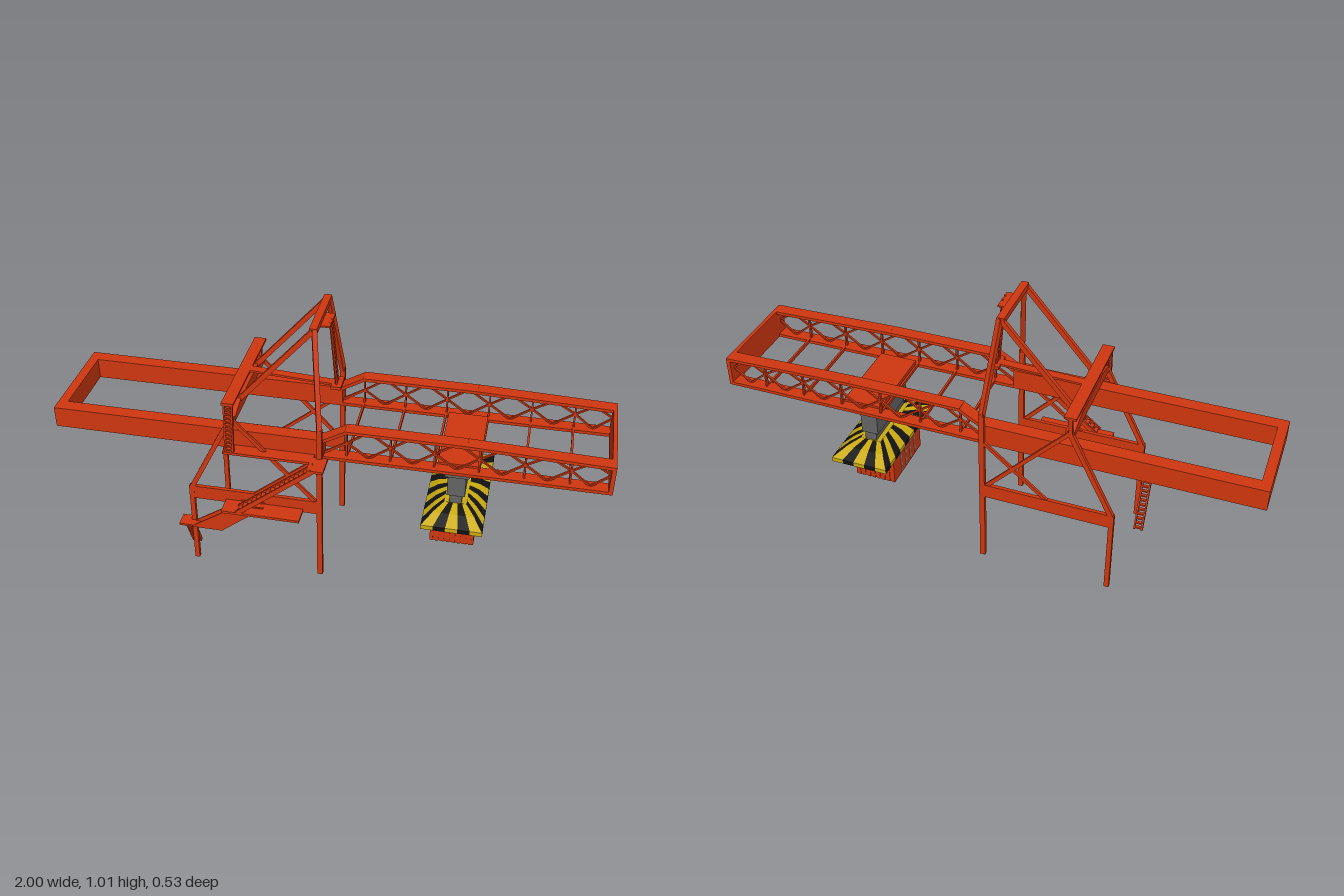
import * as THREE from 'three';

const mat = (name, color, extra = {}) => Object.assign(new THREE.MeshStandardMaterial({ color, ...extra }), { name });
const red = mat('craneRed', 0xd0370f);
const grey = mat('trolleyGrey', 0x636363);
const yellow = mat('hazardYellow', 0xccac10);
const black = mat('hazardBlack', 0x121212);
const pale = mat('stripeGrey', 0xa8a8a8);

const V = (x, y, z) => new THREE.Vector3(x, y, z);
const MID = -0.0325;                       // centre line of the boom in z

export function createModel() {
  const root = new THREE.Group();
  root.name = 'quayCrane';
  const section = (name) => {
    const g = new THREE.Group();
    g.name = name;
    root.add(g);
    return g;
  };

  // box given by its limits
  const box = (g, name, x0, x1, y0, y1, z0, z1, m = red) => {
    const mesh = new THREE.Mesh(new THREE.BoxGeometry(x1 - x0, y1 - y0, z1 - z0), m);
    mesh.position.set((x0 + x1) / 2, (y0 + y1) / 2, (z0 + z1) / 2);
    mesh.name = name;
    g.add(mesh);
  };
  // bar between two points; w is the horizontal thickness, h the other one
  const bar = (g, name, a, b, w, h = w, m = red) => {
    const mesh = new THREE.Mesh(new THREE.BoxGeometry(w, h, a.distanceTo(b)), m);
    mesh.position.copy(a);
    mesh.lookAt(b);
    mesh.position.lerp(b, 0.5);
    mesh.name = name;
    g.add(mesh);
  };
  // two rails with evenly spaced rungs
  const ladder = (g, name, a, b, side, n, rail, tread) => {
    for (const s of [-1, 1]) {
      const o = side.clone().multiplyScalar(s);
      bar(g, name + 'Rail', a.clone().add(o), b.clone().add(o), ...rail);
    }
    for (let i = 0; i < n; i++) {
      const p = a.clone().lerp(b, (i + 0.5) / n);
      bar(g, name + 'Rung', p.clone().sub(side), p.clone().add(side), ...tread);
    }
  };
  // side outline extruded across z
  const slab = (g, name, pts, z0, z1, m = red) => {
    const shape = new THREE.Shape(pts.map((p) => new THREE.Vector2(...p)));
    const mesh = new THREE.Mesh(new THREE.ExtrudeGeometry(shape, { depth: z1 - z0, bevelEnabled: false }), m);
    mesh.position.z = z0;
    mesh.name = name;
    g.add(mesh);
  };

  // Boom: solid rear girders, lattice front girders
  const boom = section('boom');
  box(boom, 'rearEndBeam', -1, -0.965, 0.525, 0.605, -0.18, 0.115);
  box(boom, 'frontEndPlate', 0.985, 1, 0.525, 0.64, -0.23, 0.165);
  const posts = [0.08, 0.235, 0.39, 0.545, 0.7, 0.855, 0.99];
  const topY = (x) => 0.648 - 0.014 * Math.max(0, (x - 0.5) / 0.5);
  for (const z of [-0.205, 0.14]) {
    box(boom, 'rearGirder', -1, 0, 0.525, 0.605, z - 0.025, z + 0.025);
    box(boom, 'bottomChord', 0, 0.99, 0.525, 0.537, z - 0.025, z + 0.025);
    bar(boom, 'chordRamp', V(-0.005, 0.598, z), V(0.08, 0.648, z), 0.05, 0.012);
    bar(boom, 'topChord', V(0.075, 0.648, z), V(0.5, 0.648, z), 0.05, 0.012);
    bar(boom, 'topChord', V(0.5, 0.648, z), V(0.992, 0.634, z), 0.05, 0.012);
    bar(boom, 'lattice', V(0, 0.54, z), V(0.08, 0.59, z), 0.008);
    posts.forEach((x, i) => {
      bar(boom, 'latticePost', V(x, 0.53, z), V(x, topY(x), z), 0.006, 0.012);
      if (i === posts.length - 1) return;
      const x1 = posts[i + 1], xm = (x + x1) / 2;
      for (const e of [x, x1])
        for (const y of [0.535, topY(xm) - 0.004]) bar(boom, 'lattice', V(e, 0.59, z), V(xm, y, z), 0.008, 0.006);
    });
  }
  for (const x of posts.slice(0, 6)) box(boom, 'crossTie', x - 0.004, x + 0.004, 0.527, 0.54, -0.19, 0.125);

  // Portal: legs, side beams, braces and the mast on top
  const portal = section('portal');
  for (const s of [-1, 1]) {
    const z = -0.027 + s * 0.208, zt = -0.03 + s * 0.117;
    box(portal, 'frontLeg', -0.02, 0, 0, 0.66, z - 0.008, z + 0.008);
    box(portal, 'rearLeg', -0.5, -0.482, 0, 0.345, z - 0.008, z + 0.008);
    box(portal, 'sideBeam', -0.5, 0, 0.29, 0.345, z - 0.007, z + 0.007);
    bar(portal, 'rearLegSlope', V(-0.491, 0.335, z), V(-0.325, 0.67, z), 0.016, 0.018);
    bar(portal, 'diagonalBrace', V(-0.325, 0.66, z), V(-0.015, 0.33, z), 0.01, 0.014);
    bar(portal, 'diagonalBrace', V(-0.3, 0.3, z), V(-0.015, 0.535, z), 0.01, 0.012);
    bar(portal, 'mastLeg', V(-0.01, 0.65, z), V(-0.045, 1, zt), 0.018, 0.018);
    bar(portal, 'backStay', V(-0.05, 0.995, zt), V(-0.33, 0.675, zt), 0.016, 0.018);
    bar(portal, 'railPost', V(-0.33, 0.66, z), V(-0.33, 0.735, z + s * 0.008), 0.014);
  }
  box(portal, 'mastHead', -0.062, -0.035, 0.984, 1.006, -0.155, 0.093);

  // Rear cross beam with tapered ends
  const beamShape = new THREE.Shape([[-0.205, 0.65], [0.205, 0.65], [0.205, 0.67], [0.125, 0.695], [-0.125, 0.695], [-0.205, 0.67]]
    .map((p) => new THREE.Vector2(...p)));
  const crossBeam = new THREE.Mesh(new THREE.ExtrudeGeometry(beamShape, { depth: 0.032, bevelEnabled: false }), red);
  crossBeam.rotation.y = Math.PI / 2;
  crossBeam.position.set(-0.343, 0, -0.03);
  crossBeam.name = 'rearCrossBeam';
  portal.add(crossBeam);

  // Stairs, landings and catwalks
  const access = section('accessStairs');
  ladder(access, 'groundLadder', V(-0.522, 0, 0.09), V(-0.522, 0.185, 0.175), V(0.015, 0, 0), 11, [0.006, 0.014], [0.012, 0.006]);
  box(access, 'lowerLanding', -0.54, -0.37, 0.176, 0.184, 0.185, 0.22);
  box(access, 'ladderLanding', -0.54, -0.5, 0.176, 0.184, 0.165, 0.22);
  for (const z of [0.187, 0.216])
    slab(access, 'lowerStairSide', [[-0.49, 0.18], [-0.37, 0.18], [-0.21, 0.31], [-0.3, 0.31]], z, z + 0.005);
  for (let i = 0; i < 9; i++) {
    const t = (i + 0.5) / 9, x = -0.41 + 0.15 * t, y = 0.18 + 0.125 * t;
    box(access, 'lowerStairTread', x - 0.01, x + 0.01, y, y + 0.005, 0.19, 0.218);
  }
  box(access, 'middleLanding', -0.36, -0.07, 0.296, 0.306, 0.19, 0.26);
  ladder(access, 'upperStair', V(-0.3, 0.305, 0.24), V(-0.02, 0.535, 0.24), V(0, 0, 0.019), 16, [0.006, 0.018], [0.016, 0.006]);
  box(access, 'upperLanding', -0.04, 0.02, 0.53, 0.54, 0.18, 0.262);
  box(access, 'boomCatwalk', -0.355, -0.03, 0.53, 0.54, 0.165, 0.215);
  ladder(access, 'deckLadder', V(-0.33, 0.54, 0.207), V(-0.33, 0.735, 0.192), V(0.014, 0, 0), 12, [0.006, 0.012], [0.012, 0.006]);
  box(access, 'crossWalk', -0.352, -0.308, 0.73, 0.739, -0.252, 0.202);
  bar(access, 'mastCatwalk', V(-0.33, 0.735, -0.04), V(0, 0.73, -0.02), 0.032, 0.008);
  box(access, 'mastPlatform', -0.005, 0.032, 0.722, 0.734, -0.057, 0.015);
  ladder(access, 'mastLadder', V(0.012, 0.73, -0.02), V(-0.006, 0.99, -0.004), V(0, 0, 0.014), 13, [0.008, 0.006], [0.006, 0.01]);
  box(access, 'mastTopStep', -0.05, -0.002, 0.982, 0.988, -0.058, 0.035);

  // Trolley and hoist column
  const trolley = section('trolley');
  box(trolley, 'trolleyDeck', 0.4, 0.545, 0.522, 0.545, -0.19, 0.125);
  slab(trolley, 'trolleyHopper', [[0.4, 0.523], [0.43, 0.475], [0.51, 0.475], [0.54, 0.523]], -0.17, 0.113, grey);
  box(trolley, 'hoistColumn', 0.437, 0.502, 0.385, 0.477, -0.157, 0.1, grey);
  box(trolley, 'hoistFoot', 0.447, 0.492, 0.345, 0.387, -0.152, 0.095, grey);

  // Spreader: rectangular loops joined into alternating hazard stripes
  const spreader = section('spreader');
  const loop = ([hx, hz, y], nx = 5, nz = 11) => {
    const c = [[-hx, hz], [hx, hz], [hx, -hz], [-hx, -hz]], pts = [];
    c.forEach((p, k) => {
      const q = c[(k + 1) % 4], n = k % 2 ? nz : nx;
      for (let i = 0; i < n; i++) pts.push([0.47 + p[0] + (q[0] - p[0]) * i / n, y, -0.03 + p[1] + (q[1] - p[1]) * i / n]);
    });
    return pts;
  };
  const rings = [[0.07, 0.11, 0.3], [0.11, 0.234, 0.3], [0.11, 0.234, 0.317], [0.075, 0.18, 0.34], [0.04, 0.125, 0.35]].map((r) => loop(r));
  [yellow, black].forEach((m, odd) => {
    const pos = [];
    for (let r = 0; r < rings.length - 1; r++)
      for (let i = odd; i < rings[r].length; i += 2) {
        const j = (i + 1) % rings[r].length;
        const a = rings[r][i], b = rings[r][j], c = rings[r + 1][j], d = rings[r + 1][i];
        pos.push(...a, ...b, ...c, ...a, ...c, ...d);
      }
    const geo = new THREE.BufferGeometry();
    geo.setAttribute('position', new THREE.Float32BufferAttribute(pos, 3));
    geo.computeVertexNormals();
    const mesh = new THREE.Mesh(geo, m);
    mesh.name = odd ? 'blackStripes' : 'yellowStripes';
    spreader.add(mesh);
  });
  box(spreader, 'spreaderCap', 0.43, 0.51, 0.343, 0.351, -0.155, 0.095, yellow);

  // Container with ribbed sides and pale end stripes
  const load = section('container');
  box(load, 'containerBody', 0.385, 0.547, 0.16, 0.302, -0.147, 0.09);
  for (let i = 0; i < 8; i++) {
    const x = 0.385 + 0.0205 * i;
    for (const z of [-0.15, 0.089]) box(load, 'sideRib', x, x + 0.012, 0.16, 0.3, z, z + 0.004);
  }
  for (const x of [0.383, 0.546]) {
    for (const z of [0.038, -0.002, -0.043, -0.084]) box(load, 'endStripe', x, x + 0.003, 0.168, 0.296, z - 0.003, z + 0.003, pale);
  }
  return root;
}
